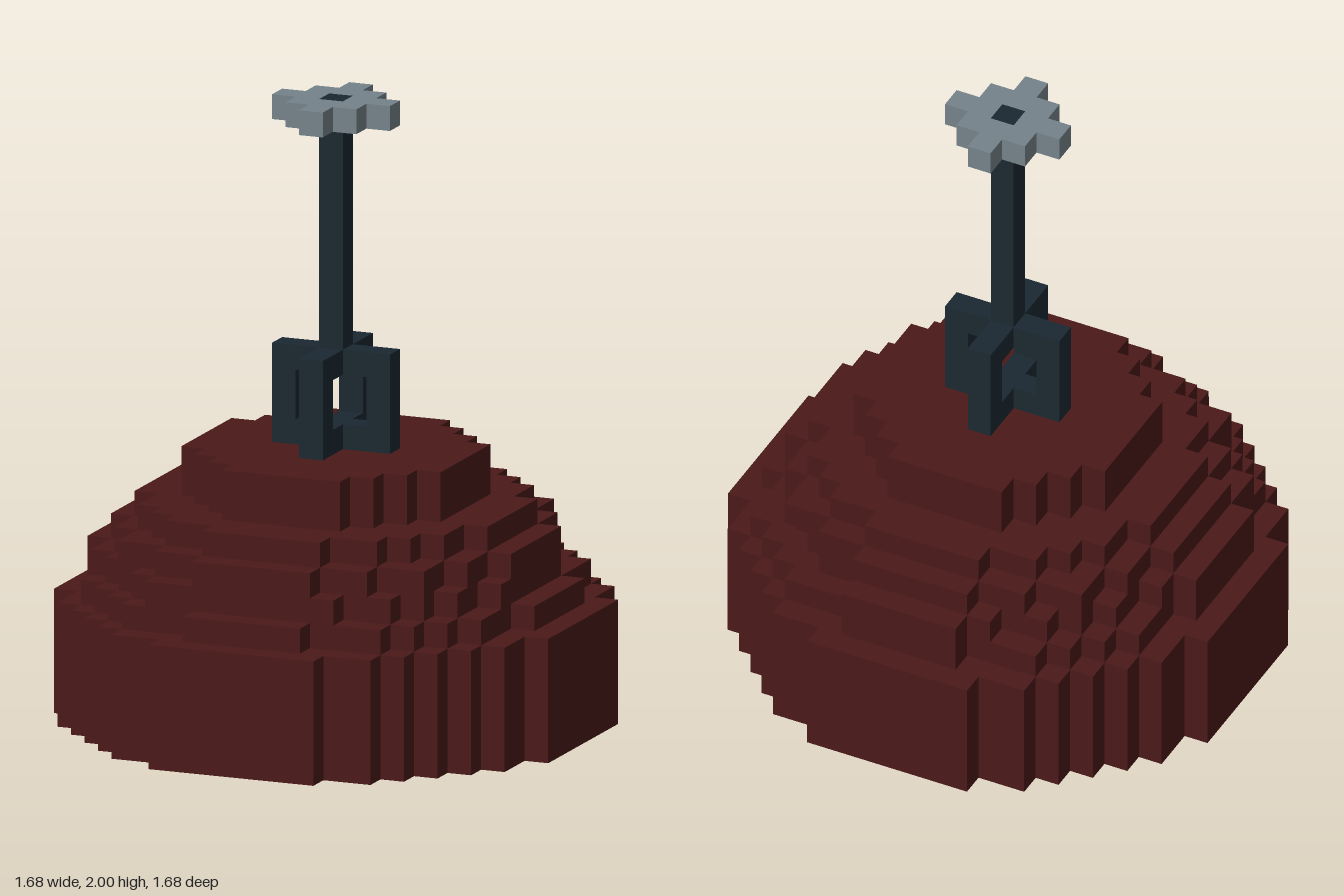
import * as THREE from 'three';

const U = 0.08; // size of one block

const mat = (name, color) => {
  const m = new THREE.MeshStandardMaterial({ color });
  m.name = name;
  return m;
};

// Stepped outline of a disc of blocks: cells whose squared radius is within r2
function discPoints(r2, shift = 0) {
  const right = [], left = [];
  for (let j = 11; j >= -11; j--) {
    let min = Infinity, max = -Infinity;
    for (let i = -11; i <= 11; i++) {
      if ((i + shift) ** 2 + (j - shift) ** 2 <= r2) {
        min = Math.min(min, i);
        max = Math.max(max, i);
      }
    }
    if (max < min) continue;
    for (const e of [0.5, -0.5]) {
      right.push(new THREE.Vector2((max + 0.5) * U, -(j + e) * U));
      left.unshift(new THREE.Vector2((min - 0.5) * U, -(j + e) * U));
    }
  }
  const pts = [...right, ...left]; // counter-clockwise
  return pts.filter((p, k) => p.distanceTo(pts[(k + 1) % pts.length]) > 1e-6);
}

// Stepped disc or ring, from block level y0 to y1
function disc(name, material, y0, y1, r2, inner = -1, shift = 0) {
  const shape = new THREE.Shape(discPoints(r2, shift));
  if (inner >= 0) shape.holes.push(new THREE.Path(discPoints(inner).reverse()));
  const geo = new THREE.ExtrudeGeometry(shape, { depth: (y1 - y0) * U, bevelEnabled: false });
  geo.rotateX(-Math.PI / 2);
  const mesh = new THREE.Mesh(geo, material);
  mesh.name = name;
  mesh.position.y = y0 * U;
  return mesh;
}

// Box measured in blocks, standing on level y0
function block(name, material, w, h, d, x, y0, z) {
  const mesh = new THREE.Mesh(new THREE.BoxGeometry(w * U, h * U, d * U), material);
  mesh.name = name;
  mesh.position.set(x * U, (y0 + h / 2) * U, z * U);
  return mesh;
}

export function createModel() {
  const model = new THREE.Group();
  const maroon = mat('maroon', 0x4b1919);
  const dark = mat('dark slate', 0x1b2831);
  const grey = mat('grey', 0x76838a);

  // Hollow stepped dome: [from, to, outer r2, inner r2, centre shift]
  const dome = new THREE.Group();
  dome.name = 'dome';
  const layers = [
    [0, 5, 110, 72, 0],
    [5, 6, 89.5, 56, 0],
    [6, 7, 76, 56, 0.2],
    [7, 8, 72, 42, 0],
    [8, 9, 56, 20, 0],
    [9, 11, 30, -1, 0],
  ];
  layers.forEach(([a, b, r2, inner, shift], k) =>
    dome.add(disc('domeLayer' + (k + 1), maroon, a, b, r2, inner, shift)));
  // Raised ledges on the right and back
  dome.add(block('rightLedge', maroon, 1, 1, 5, -9, 6, 0));
  dome.add(block('backLedge', maroon, 5, 1, 1, 0, 6, -9));
  dome.add(disc('innerColumn', maroon, 0, 9, 5));
  model.add(dome);

  // Crossed frame at the foot of the stem, open in the middle
  const frame = new THREE.Group();
  frame.name = 'crossFrame';
  for (const s of [-1, 1]) {
    frame.add(block('postX', dark, 1, 4, 1, 2 * s, 11, 0));
    frame.add(block('postZ', dark, 1, 4, 1, 0, 11, 2 * s));
    for (const y of [11, 14]) {
      frame.add(block('barX', dark, 1, 1, 1, s, y, 0));
      frame.add(block('barZ', dark, 1, 1, 1, 0, y, s));
    }
  }
  frame.add(block('frameCentre', dark, 1, 1, 1, 0, 11, 0));
  model.add(frame);

  // Stem rising from the frame's top bars through the cap
  model.add(block('stem', dark, 1, 11, 1, 0, 14, 0));
  model.add(disc('cap', grey, 24, 25, 4, 0));
  return model;
}
